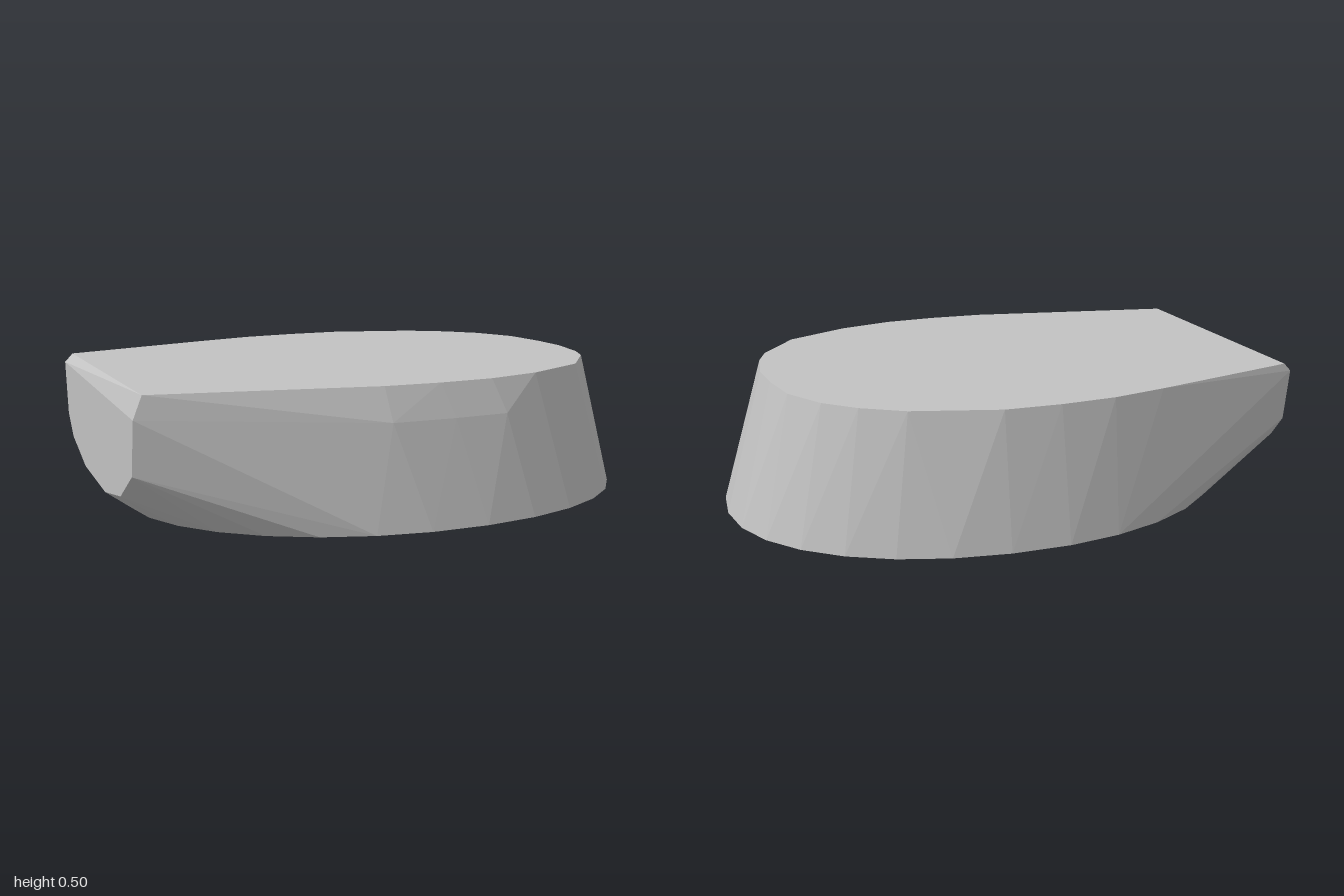
import * as THREE from 'three';
import { ConvexGeometry } from 'three/addons/geometries/ConvexGeometry.js';

// Flat-topped faceted stone: a hull around an oval base, a horseshoe top and a cut end
export function createModel() {
  const group = new THREE.Group();
  group.name = 'stone';
  const points = [];
  const add = (x, y, z) => points.push(new THREE.Vector3(x, y, z));

  // top outline (x, z)
  [
    [-0.97, -0.495], [-0.4, -0.645], [-0.2, -0.69], [0, -0.705], [0.2, -0.7], [0.5, -0.61],
    [0.64, -0.52], [0.74, -0.42], [0.82, -0.27], [0.845, -0.1], [0.85, 0.05], [0.82, 0.22],
    [0.78, 0.32], [0.64, 0.5], [0.4, 0.62], [0.2, 0.67], [0, 0.68], [-0.2, 0.67], [-0.97, 0.52],
  ].forEach(([x, z]) => add(x, 0.5, z));

  // bulge just under the rim on the front side
  [[-0.18, 0.695], [0.05, 0.7], [0.25, 0.69]].forEach(([x, z]) => add(x, 0.38, z));

  // oval base, slightly squarer towards the round end
  const sides = 30;
  for (let i = 0; i < sides; i++) {
    const a = (i / sides) * Math.PI * 2;
    const c = Math.cos(a), s = Math.sin(a);
    const power = c > 0 ? 0.93 : 1;
    add(0.06 + 0.94 * Math.sign(c) * Math.abs(c) ** power, 0,
      0.715 * Math.sign(s) * Math.abs(s) ** power);
  }

  // cut end: rounded U shape (z, y)
  [
    [-0.49, 0.47], [-0.46, 0.28], [-0.39, 0.2], [-0.2, 0.125], [0.1, 0.095],
    [0.32, 0.13], [0.48, 0.23], [0.515, 0.42],
  ].forEach(([z, y]) => add(-1, y, z));

  const stone = new THREE.MeshStandardMaterial({ color: 0xc2c2c2, flatShading: true });
  stone.name = 'grey stone';
  const body = new THREE.Mesh(new ConvexGeometry(points), stone);
  body.name = 'stoneBody';
  group.add(body);
  return group;
}
